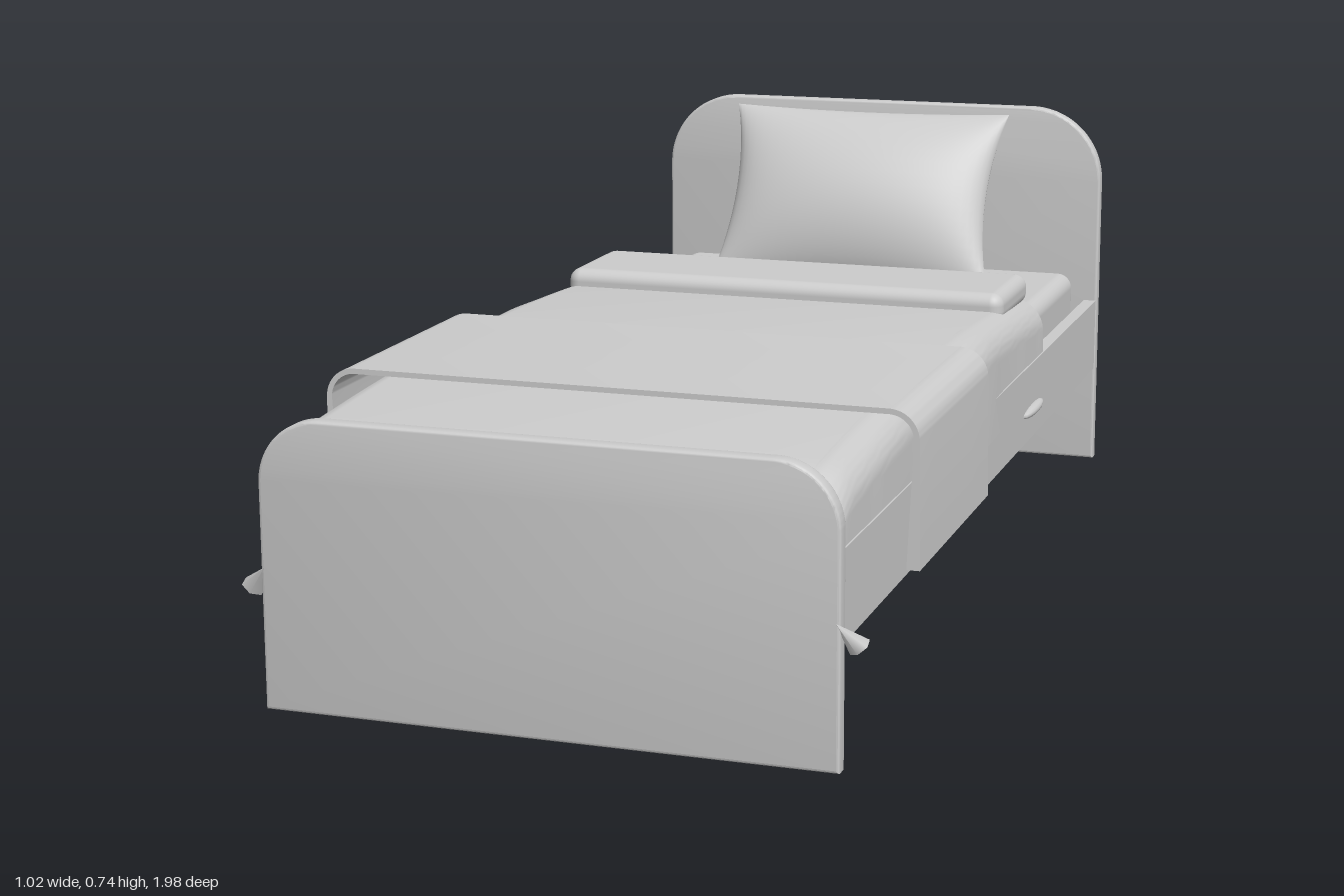
import * as THREE from 'three';
import { toCreasedNormals } from 'three/addons/utils/BufferGeometryUtils.js';
import { RoundedBoxGeometry } from 'three/addons/geometries/RoundedBoxGeometry.js';

const grey = new THREE.MeshStandardMaterial({ color: 0xcccccc, side: THREE.DoubleSide });
grey.name = 'plain grey';

export function createModel() {
  const bed = new THREE.Group();
  bed.name = 'bed';

  const add = (name, geometry, x = 0, y = 0, z = 0) => {
    const mesh = new THREE.Mesh(geometry, grey);
    mesh.name = name;
    mesh.position.set(x, y, z);
    bed.add(mesh);
    return mesh;
  };

  // Upright board with two rounded top corners and a softened rim
  const board = (name, height, radius, z0) => {
    const b = 0.005, w = 0.47 - b, h = height - b;
    const s = new THREE.Shape();
    s.moveTo(-w, b);
    s.lineTo(w, b);
    s.lineTo(w, h - radius);
    s.absarc(w - radius, h - radius, radius, 0, Math.PI / 2);
    s.lineTo(radius - w, h);
    s.absarc(radius - w, h - radius, radius, Math.PI / 2, Math.PI);
    const g = new THREE.ExtrudeGeometry(s, {
      depth: 0.02, bevelSize: b, bevelThickness: b, bevelSegments: 3, curveSegments: 16
    });
    add(name, toCreasedNormals(g, 0.6), 0, 0, z0 + b);
  };
  board('headboard', 0.74, 0.145, -1);
  board('footboard', 0.475, 0.1, 0.953);

  // Frame and mattress
  for (const side of [-1, 1]) {
    add(side < 0 ? 'rightRail' : 'leftRail', new THREE.BoxGeometry(0.025, 0.145, 1.93), side * 0.4555, 0.2675, -0.005);
  }
  add('bedBase', new THREE.BoxGeometry(0.89, 0.02, 1.92), 0, 0.212, -0.005);
  add('mattress', new RoundedBoxGeometry(0.845, 0.18, 1.91, 4, 0.03), 0, 0.31, -0.007);

  // Thin cover hanging over both sides, extruded along the bed
  const cover = (w, top, bottom, r, thick, hem, z0, z1, steps) => {
    const s = new THREE.Shape();
    s.moveTo(-w, bottom);
    s.lineTo(-w + 0.003, top - r);
    s.absarc(r - w + 0.003, top - r, r, Math.PI, Math.PI / 2, true);
    s.lineTo(w - r, top);
    s.absarc(w - r - 0.003, top - r, r, Math.PI / 2, 0, true);
    s.lineTo(w, bottom);
    s.lineTo(w - hem, bottom);
    const wi = w - thick - 0.003, ti = top - thick, ri = r - thick;
    s.absarc(wi - ri, ti - ri, ri, 0, Math.PI / 2);
    s.absarc(ri - wi, ti - ri, ri, Math.PI / 2, Math.PI);
    s.lineTo(hem - w, bottom);
    const g = new THREE.ExtrudeGeometry(s, { depth: z1 - z0, steps, bevelEnabled: false, curveSegments: 8 });
    g.translate(0, 0, z0);
    return g;
  };

  // Blanket: crowned along its length, bulging slightly over the rails
  const blanket = cover(0.467, 0.44, 0.27, 0.06, 0.03, 0.02, -0.455, 0.953, 40);
  const p = blanket.attributes.position;
  for (let i = 0; i < p.count; i++) {
    const x = p.getX(i), y = p.getY(i), z = p.getZ(i);
    const upper = THREE.MathUtils.smoothstep(y, 0.33, 0.4);
    const crown = 0.03 * (1 - ((z - 0.25) / 0.705) ** 2);
    const footDrop = 0.02 * THREE.MathUtils.smoothstep(z, 0.9, 0.96);
    p.setY(i, y + upper * (crown - footDrop));
    const bulge = 0.004 * Math.exp(-(((z - 0.02) / 0.08) ** 2));
    if (Math.abs(x) > 0.43) p.setX(i, x + Math.sign(x) * bulge);
  }
  add('blanket', toCreasedNormals(blanket, 0.6));

  // Turned-back top of the blanket
  add('blanketFold', new RoundedBoxGeometry(0.86, 0.058, 0.235, 4, 0.024), 0, 0.459, -0.355);

  // Throw laid across the lower half
  const throwGeo = cover(0.508, 0.483, 0.225, 0.05, 0.009, 0.022, 0.192, 0.662, 4);
  add('throw', toCreasedNormals(throwGeo, 0.6));

  // Small tucks of cloth on the rails and at the foot corners
  for (const side of [-1, 1]) {
    const tuck = add('blanketTuck', new THREE.SphereGeometry(1, 16, 8), side * 0.468, 0.25, -0.355);
    tuck.scale.set(0.013, 0.01, 0.08);
    const corner = add('cornerTuck', new THREE.ConeGeometry(0.02, 0.055, 6), side * 0.479, 0.214, 0.973);
    corner.scale.z = 0.8;
    corner.rotation.set(0.5, 0, side * 0.6);
  }

  // Pillow: two bulged grids meeting at a seam with pulled-out corners
  const pillow = new THREE.Group();
  pillow.name = 'pillow';
  for (const face of [1, -1]) {
    const g = new THREE.PlaneGeometry(2, 2, 28, 20);
    const q = g.attributes.position;
    for (let i = 0; i < q.count; i++) {
      const u = Math.sin(q.getX(i) * Math.PI / 2), v = Math.sin(q.getY(i) * Math.PI / 2);
      const puff = Math.pow(Math.max(0, 1 - u * u), 0.5) * Math.pow(Math.max(0, 1 - v * v), 0.75);
      q.setXYZ(i,
        face * 0.292 * u * (1 - 0.09 * (1 - v * v)),
        0.188 * v * (1 - 0.04 * (1 - u * u)),
        face * 0.077 * puff);
    }
    g.computeVertexNormals();
    const half = new THREE.Mesh(g, grey);
    half.name = face > 0 ? 'pillowFront' : 'pillowBack';
    pillow.add(half);
  }
  pillow.position.set(0, 0.568, -0.805);
  pillow.rotation.x = -0.5;
  bed.add(pillow);

  return bed;
}
